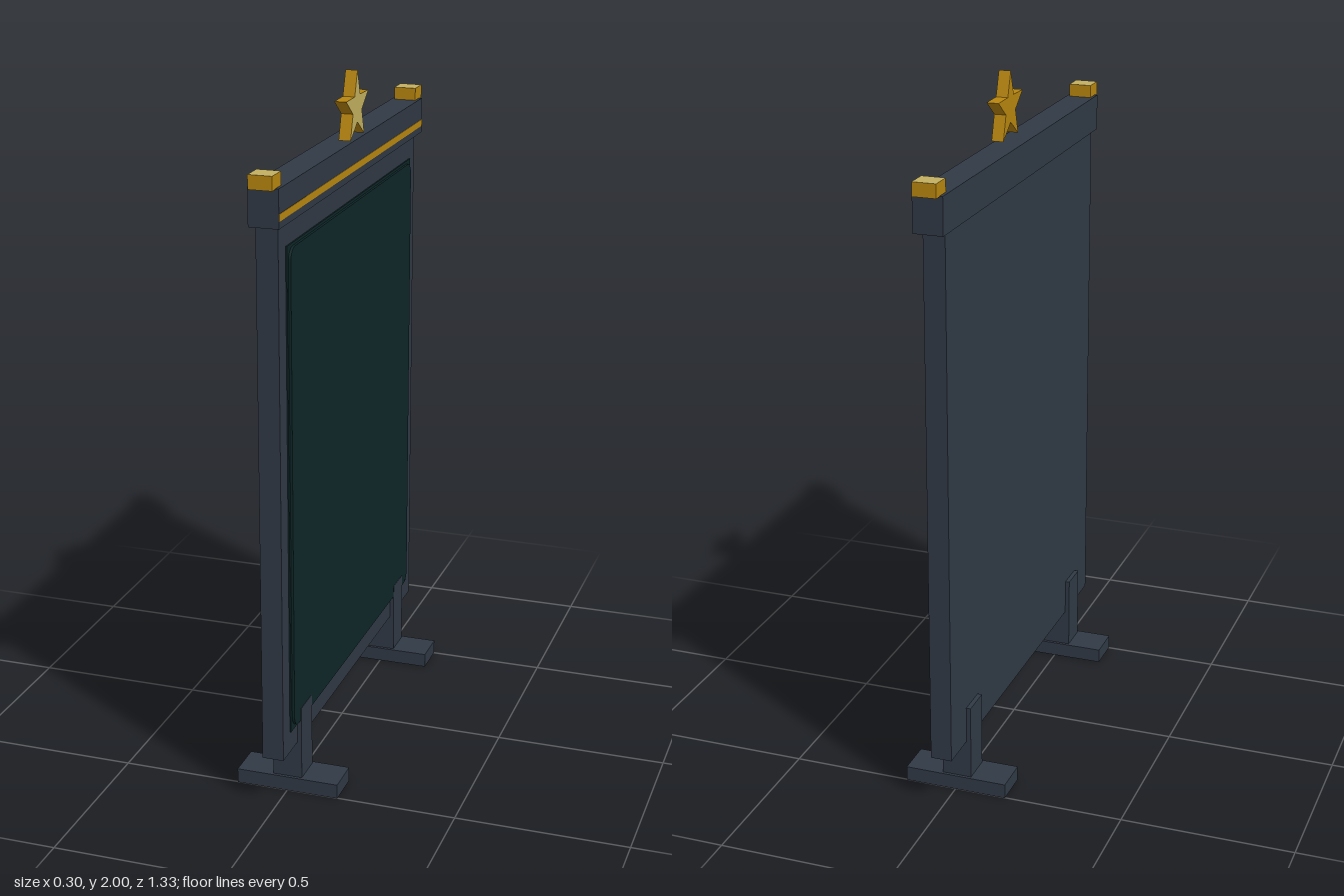
import * as THREE from 'three';

const material = (name, color, extra = {}) => {
  const m = new THREE.MeshStandardMaterial({ color, ...extra });
  m.name = name;
  return m;
};

export function createModel() {
  const group = new THREE.Group();
  const slate = material('slate', 0x303945);
  const board = material('boardGreen', 0x0e2628);
  const gold = material('gold', 0xb8860f);
  const pale = material('paleGold', 0xc2b060);

  const add = (name, geometry, mat) => {
    const mesh = new THREE.Mesh(geometry, mat);
    mesh.name = name;
    group.add(mesh);
    return mesh;
  };
  // Box given by its limits along each axis
  const box = (name, mat, x0, x1, y0, y1, z0, z1) => {
    const mesh = add(name, new THREE.BoxGeometry(x1 - x0, y1 - y0, z1 - z0), mat);
    mesh.position.set((x0 + x1) / 2, (y0 + y1) / 2, (z0 + z1) / 2);
    return mesh;
  };

  // Framed board, its display side towards +x
  box('frame', slate, -0.032, 0.03, 0.157, 1.7, -0.612, 0.612);
  box('panelBacking', board, 0.029, 0.034, 0.22, 1.633, -0.557, 0.557);

  // Writing surface with rounded corners
  const w = 0.547, b = 0.228, t = 1.625, r = 0.035;
  const panel = new THREE.Shape();
  panel.moveTo(-w + r, b).lineTo(w - r, b);
  panel.absarc(w - r, b + r, r, -Math.PI / 2, 0);
  panel.absarc(w - r, t - r, r, 0, Math.PI / 2);
  panel.absarc(-w + r, t - r, r, Math.PI / 2, Math.PI);
  panel.absarc(-w + r, b + r, r, Math.PI, Math.PI * 1.5);
  const surface = add('writingSurface',
    new THREE.ExtrudeGeometry(panel, { depth: 0.007, bevelEnabled: false, curveSegments: 4 }), board);
  surface.rotation.y = Math.PI / 2;
  surface.position.x = 0.034;

  // Header beam with its gold stripe
  box('header', slate, -0.04, 0.045, 1.7, 1.806, -0.645, 0.645);
  box('headerStripe', gold, 0.043, 0.0458, 1.72, 1.74, -0.643, 0.643);

  // Square end caps, pale on top
  for (const s of [-1, 1]) {
    const cap = box('endCap', [gold, gold, pale, gold, gold, gold],
      -0.031, 0.036, 1.804, 1.843, -0.033, 0.033);
    cap.position.z = s * 0.634;
  }

  // Star ornament
  const points = [];
  for (let i = 0; i < 10; i++) {
    const a = Math.PI / 2 + i * Math.PI / 5;
    const radius = i % 2 ? 0.041 : 0.104;
    points.push(new THREE.Vector2(radius * Math.cos(a), radius * Math.sin(a)));
  }
  const star = new THREE.Shape(points);
  const body = add('star', new THREE.ExtrudeGeometry(star, { depth: 0.035, bevelEnabled: false }), gold);
  const face = add('starFace', new THREE.ShapeGeometry(star), pale);
  body.position.set(0.01, 1.896, 0);
  face.position.set(0.0455, 1.896, 0);
  body.rotation.y = face.rotation.y = Math.PI / 2;

  // Feet: post, top plate and a base with three sockets underneath
  const sole = new THREE.Shape();
  sole.moveTo(-0.152, -0.055).lineTo(0.152, -0.055).lineTo(0.152, 0.055).lineTo(-0.152, 0.055).closePath();
  for (const x of [-0.095, 0, 0.095]) {
    const hole = new THREE.Path();
    hole.moveTo(x - 0.032, -0.033).lineTo(x - 0.032, 0.033).lineTo(x + 0.032, 0.033)
      .lineTo(x + 0.032, -0.033).closePath();
    sole.holes.push(hole);
  }
  const soleGeometry = new THREE.ExtrudeGeometry(sole, { depth: 0.02, bevelEnabled: false });
  soleGeometry.rotateX(-Math.PI / 2);
  for (const s of [-1, 1]) {
    const z = s * 0.447;
    box('footPost', slate, -0.045, 0.042, 0.03, 0.265, z - 0.046, z + 0.046);
    box('footPlate', slate, -0.152, 0.152, 0.02, 0.043, z - 0.055, z + 0.055);
    add('footSole', soleGeometry, slate).position.z = z;
  }
  return group;
}
